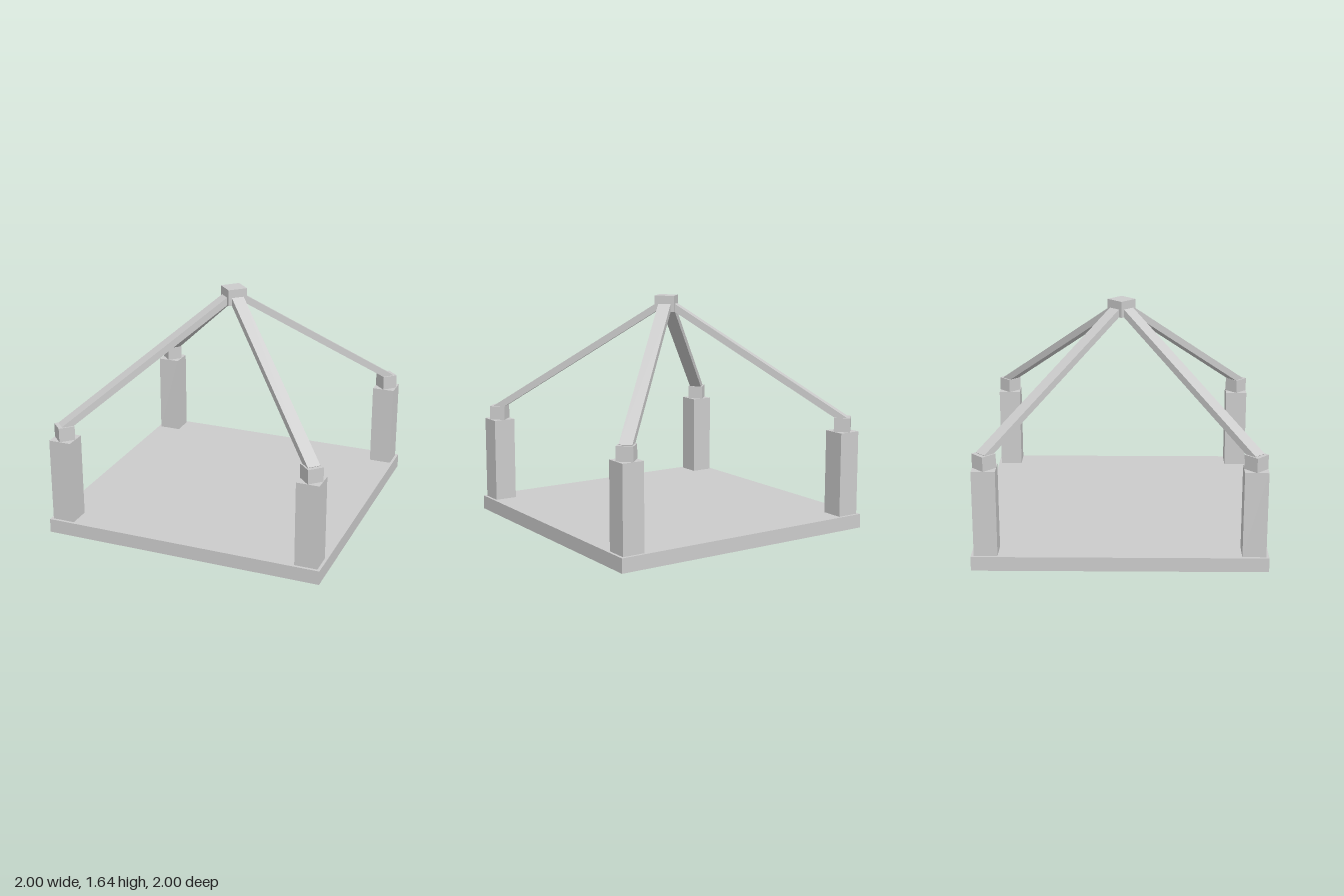
import * as THREE from 'three';

const material = new THREE.MeshStandardMaterial({ color: 0xcccccc, flatShading: true });

function box(name, w, h, d, x, y, z) {
  const mesh = new THREE.Mesh(new THREE.BoxGeometry(w, h, d), material);
  mesh.name = name;
  mesh.position.set(x, y, z);
  return mesh;
}

export function createModel() {
  const group = new THREE.Group();
  group.name = 'pavilionFrame';

  // Floor slab
  group.add(box('floor', 2, 0.1, 2, 0, 0.05, 0));

  // Ridge block, turned so each face meets a rafter
  const apex = box('apexBlock', 0.141, 0.115, 0.141, 0, 1.585, 0);
  apex.rotation.y = Math.PI / 4;
  group.add(apex);

  for (const sx of [-1, 1]) {
    for (const sz of [-1, 1]) {
      const x = 0.9 * sx, z = 0.9 * sz;

      // Corner post
      group.add(box('post', 0.16, 0.6, 0.16, x, 0.4, z));

      // Diagonal cap on the post
      const cap = box('postCap', 0.113, 0.1, 0.113, x, 0.75, z);
      cap.rotation.y = Math.PI / 4;
      group.add(cap);

      // Sloping rafter from cap to apex, given as radius and height
      const at = (r, y) => new THREE.Vector3(sx * r * Math.SQRT1_2, y, sz * r * Math.SQRT1_2);
      const low = at(1.29, 0.783), high = at(0.02, 1.587);
      const rafter = box('rafter', 0.09, 0.048, low.distanceTo(high), 0, 0, 0);
      rafter.position.copy(low).lerp(high, 0.5);
      rafter.lookAt(high);
      group.add(rafter);
    }
  }
  return group;
}
